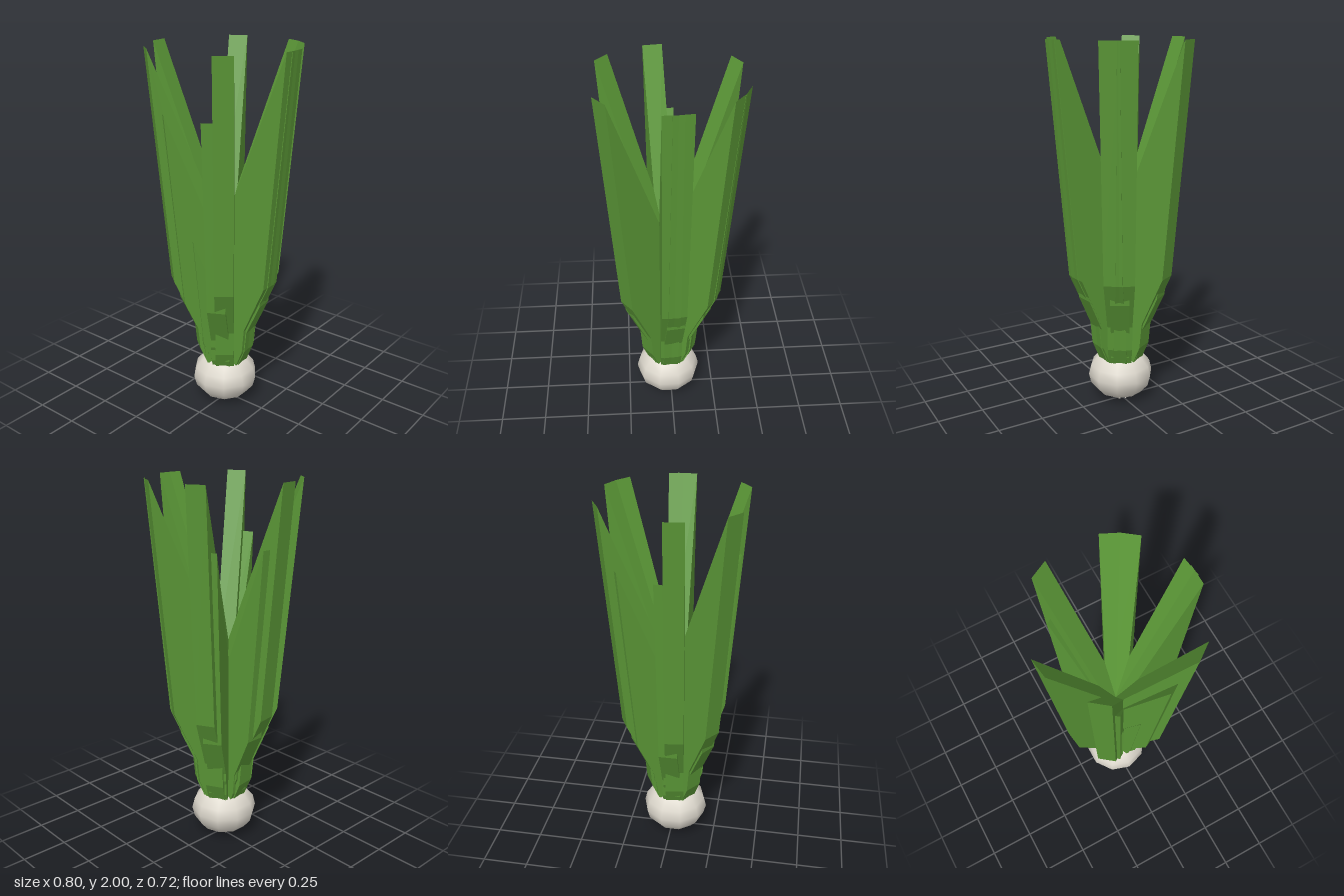
import * as THREE from 'three';

const leafGreen = new THREE.MeshStandardMaterial({ name: 'leaf green', color: 0x5a9636 });
const bulbCream = new THREE.MeshStandardMaterial({ name: 'bulb cream', color: 0xdcd7cc });

// Outer edge of a full-size leaf as [radius, height]; the sloping top runs back to the axis.
const LEAF_PROFILE = [
  [0, 0.25], [0.112, 0.25], [0.153, 0.35], [0.166, 0.49],
  [0.29, 0.77], [0.395, 2.0], [0, 1.0],
];
const LEAF_WIDTH = 0.1;
const CENTRE_Z = 0.015;

// Wedge-shaped leaf: side profile extruded to a constant width
function leafGeometry(scale) {
  const shape = new THREE.Shape(LEAF_PROFILE.map(([r, y]) => new THREE.Vector2(r * scale, y * scale)));
  const geometry = new THREE.ExtrudeGeometry(shape, { depth: LEAF_WIDTH, bevelEnabled: false });
  geometry.translate(0, 0, -LEAF_WIDTH / 2);
  return geometry;
}

// Ring of leaves at the given angles, measured from +x towards +z
function leafRing(name, scale, angles) {
  const ring = new THREE.Group();
  ring.name = name + 's';
  const geometry = leafGeometry(scale);
  for (const angle of angles) {
    const leaf = new THREE.Mesh(geometry, leafGreen);
    leaf.name = name;
    leaf.rotation.y = -THREE.MathUtils.degToRad(angle);
    ring.add(leaf);
  }
  ring.position.z = CENTRE_Z;
  return ring;
}

export function createModel() {
  const model = new THREE.Group();
  model.name = 'springOnion';

  // Leaves in three lengths
  model.add(leafRing('longLeaf', 1, [53, 128.3, 172, 242, 295, 307.5, 352.7, 359.5]));
  model.add(leafRing('mediumLeaf', 0.84, [63, 124, 180, 237, 301, 353]));
  model.add(leafRing('shortLeaf', 0.5, [64, 121, 177, 237]));

  // Squashed ten-sided bulb
  const bulb = new THREE.Mesh(new THREE.SphereGeometry(0.182, 10, 8), bulbCream);
  bulb.name = 'bulb';
  bulb.rotation.y = Math.PI / 2;
  bulb.scale.y = 0.8;
  bulb.position.set(0, 0.152, 0.0175);
  model.add(bulb);

  // Tiny root stubs under the bulb
  const rootGeometry = new THREE.CylinderGeometry(0.008, 0.006, 0.03, 5);
  for (let i = 0; i < 7; i++) {
    const a = (i / 7) * Math.PI * 2;
    const root = new THREE.Mesh(rootGeometry, bulbCream);
    root.name = 'root';
    root.position.set(0.042 * Math.cos(a), 0.015, CENTRE_Z + 0.042 * Math.sin(a));
    model.add(root);
  }
  return model;
}
